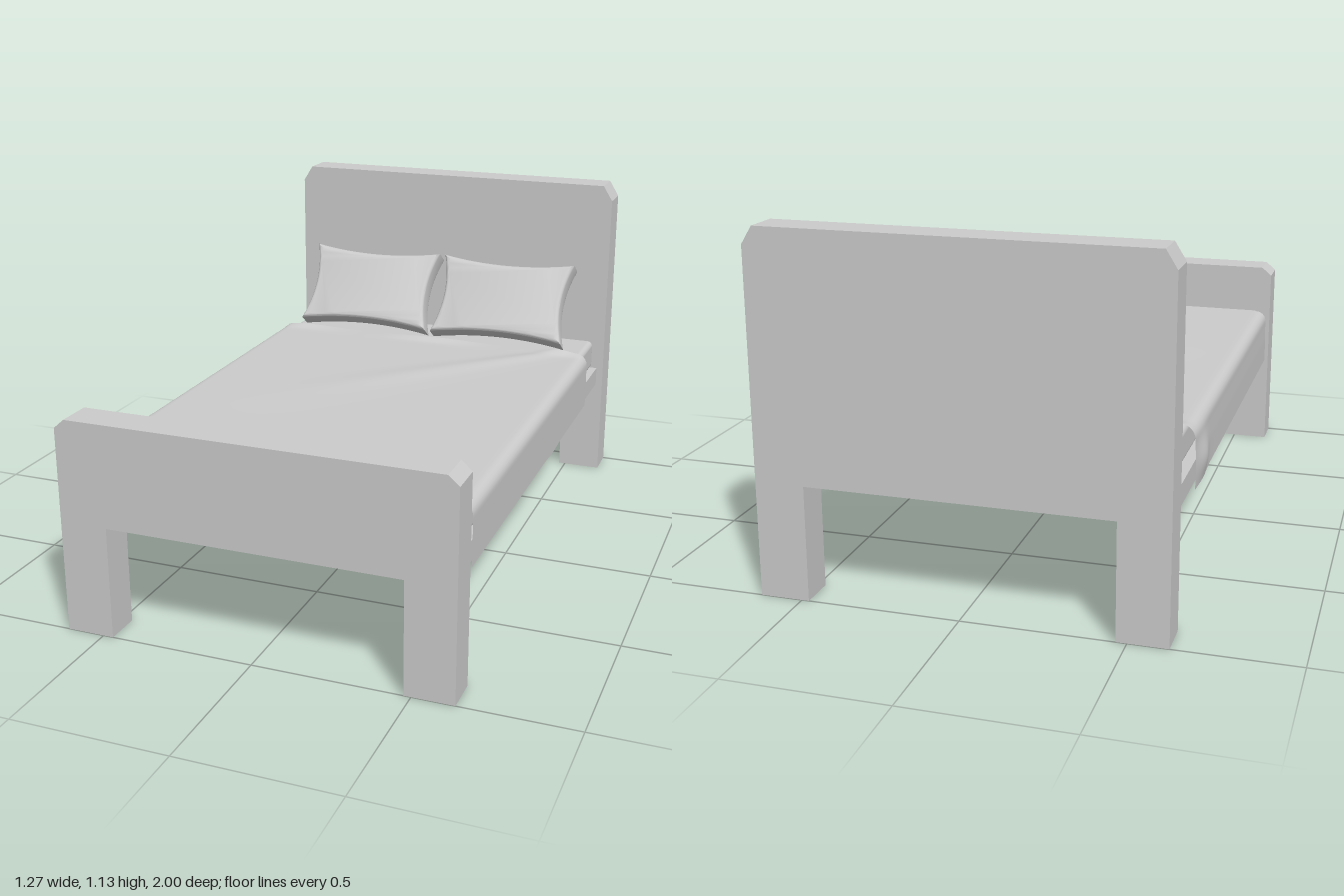
import * as THREE from 'three';
import { RoundedBoxGeometry } from 'three/addons/geometries/RoundedBoxGeometry.js';
import { toCreasedNormals } from 'three/addons/utils/BufferGeometryUtils.js';

const grey = new THREE.MeshStandardMaterial({ color: 0xcccccc });
const open = new THREE.MeshStandardMaterial({ color: 0xcccccc, side: THREE.DoubleSide });
const CX = 0.005; // centre line of the frame

function addMesh(parent, name, geometry, x, y, z, material = grey) {
  const mesh = new THREE.Mesh(geometry, material);
  mesh.name = name;
  mesh.position.set(x, y, z);
  parent.add(mesh);
  return mesh;
}

// Leaves out the faces that look straight down, so the wooden shells are open below
function openBelow(geometry) {
  const g = geometry.index ? geometry.toNonIndexed() : geometry;
  const normal = g.attributes.normal, keep = [];
  for (let i = 0; i < normal.count; i += 3) {
    if (normal.getY(i) > -0.9) keep.push(i, i + 1, i + 2);
  }
  g.clearGroups();
  g.setIndex(keep);
  return g;
}

// End board with two legs and chamfered top corners
function boardGeometry(height, cutY) {
  const half = 0.627, inner = 0.472, arch = 0.364, cutX = 0.034;
  const shape = new THREE.Shape([
    [-half, 0], [-inner, 0], [-inner, arch], [inner, arch], [inner, 0], [half, 0],
    [half, height - cutY], [half - cutX, height], [-half + cutX, height], [-half, height - cutY],
  ].map(([x, y]) => new THREE.Vector2(x, y)));
  return openBelow(new THREE.ExtrudeGeometry(shape, { depth: 0.116, bevelEnabled: false }));
}

// Cushion whose edges draw in between the corners
function pillowGeometry() {
  const w = 0.515, h = 0.318, t = 0.086, bevel = 0.014, n = 16;
  const outline = [];
  for (let i = 0; i < 4 * n; i++) {
    const side = Math.floor(i / n), s = (i % n) / n * 2 - 1;
    const [a, b] = [[s, -1], [1, s], [-s, 1], [-1, -s]][side];
    const pinch = 1 - s * s;
    const inX = side % 2 ? 0.028 * pinch : 0, inY = side % 2 ? 0 : 0.024 * pinch;
    outline.push(new THREE.Vector2(a * (w / 2 - inX), b * (h / 2 - inY)));
  }
  const g = new THREE.ExtrudeGeometry(new THREE.Shape(outline), {
    depth: t - 2 * bevel, bevelThickness: bevel, bevelSize: bevel, bevelOffset: -bevel, bevelSegments: 4,
  });
  g.translate(0, 0, bevel - t / 2);
  return toCreasedNormals(g, 0.7);
}

// Sheet draped over the mattress, with a diagonal crease and a loose corner
function blanketGeometry() {
  const half = 0.616, top = 0.536, hem = 0.342, r = 0.036;
  const flat = half - r, arc = r * Math.PI / 2, drop = top - r - hem;
  const total = flat + arc + drop;
  const g = new THREE.PlaneGeometry(2 * total, 1.465, 160, 80);
  g.rotateX(-Math.PI / 2);
  const p = g.attributes.position;
  const smooth = THREE.MathUtils.smoothstep;
  for (let i = 0; i < p.count; i++) {
    const s = Math.abs(p.getX(i)), sign = Math.sign(p.getX(i));
    let z = p.getZ(i) + 0.0825;
    const head = 1 - smooth(z, -0.65, -0.6);
    let x, y;
    if (s < flat) { x = s; y = top; }
    else if (s < flat + arc) {
      const a = (s - flat) / r;
      x = flat + r * Math.sin(a);
      y = top - r + r * Math.cos(a);
    } else { x = half; y = top - r - (s - flat - arc); }
    x *= sign;
    const onTop = 1 - smooth(s, flat - 0.06, flat + arc);
    // Diagonal crease, widening and fading towards the foot
    const along = (0.5 - x + z + 0.62) / 1.9;
    const across = (x + z + 0.12) / Math.SQRT2 + 0.02;
    const fade = 1 - smooth(along, 0.35, 1);
    const width = 0.03 + 0.08 * Math.max(along, 0);
    y += onTop * fade * 0.007 * Math.exp(-((across / width) ** 2));
    // Wavy lifted head edge
    y += onTop * head * (0.006 + 0.006 * Math.cos(x * 11));
    z += onTop * head * 0.01 * Math.cos(x * 11 + 0.4);
    // Slack in the hanging sides
    const low = smooth(top - y, 0.04, 0.12);
    const bulge = Math.exp(-(((z + 0.54) / 0.08) ** 2)) * Math.exp(-(((y - 0.41) / 0.06) ** 2));
    if (sign < 0) x -= 0.016 * bulge + 0.002 * low;
    else y -= 0.006 * low * Math.exp(-(((z + 0.15) / 0.08) ** 2));
    p.setXYZ(i, x, y, z);
  }
  g.computeVertexNormals();
  return g;
}

export function createModel() {
  const bed = new THREE.Group();
  bed.name = 'bed';

  // Wooden frame
  addMesh(bed, 'headboard', boardGeometry(1.132, 0.055), CX, 0, -1, open);
  addMesh(bed, 'footboard', boardGeometry(0.695, 0.03), CX, 0, 0.884, open);
  addMesh(bed, 'bedBase', openBelow(new THREE.BoxGeometry(1.215, 0.066, 1.768)), 0, 0.383, 0, open);

  // Bedding
  addMesh(bed, 'mattress', new RoundedBoxGeometry(1.172, 0.108, 1.758, 3, 0.02), 0.004, 0.474, -0.002);
  addMesh(bed, 'blanket', blanketGeometry(), 0, 0, 0, open);

  // Pillows leaning on the headboard
  const pillow = pillowGeometry();
  for (const [name, x] of [['rightPillow', -0.278], ['leftPillow', 0.258]]) {
    addMesh(bed, name, pillow, x, 0.684, -0.756).rotation.x = -0.61;
  }
  return bed;
}
